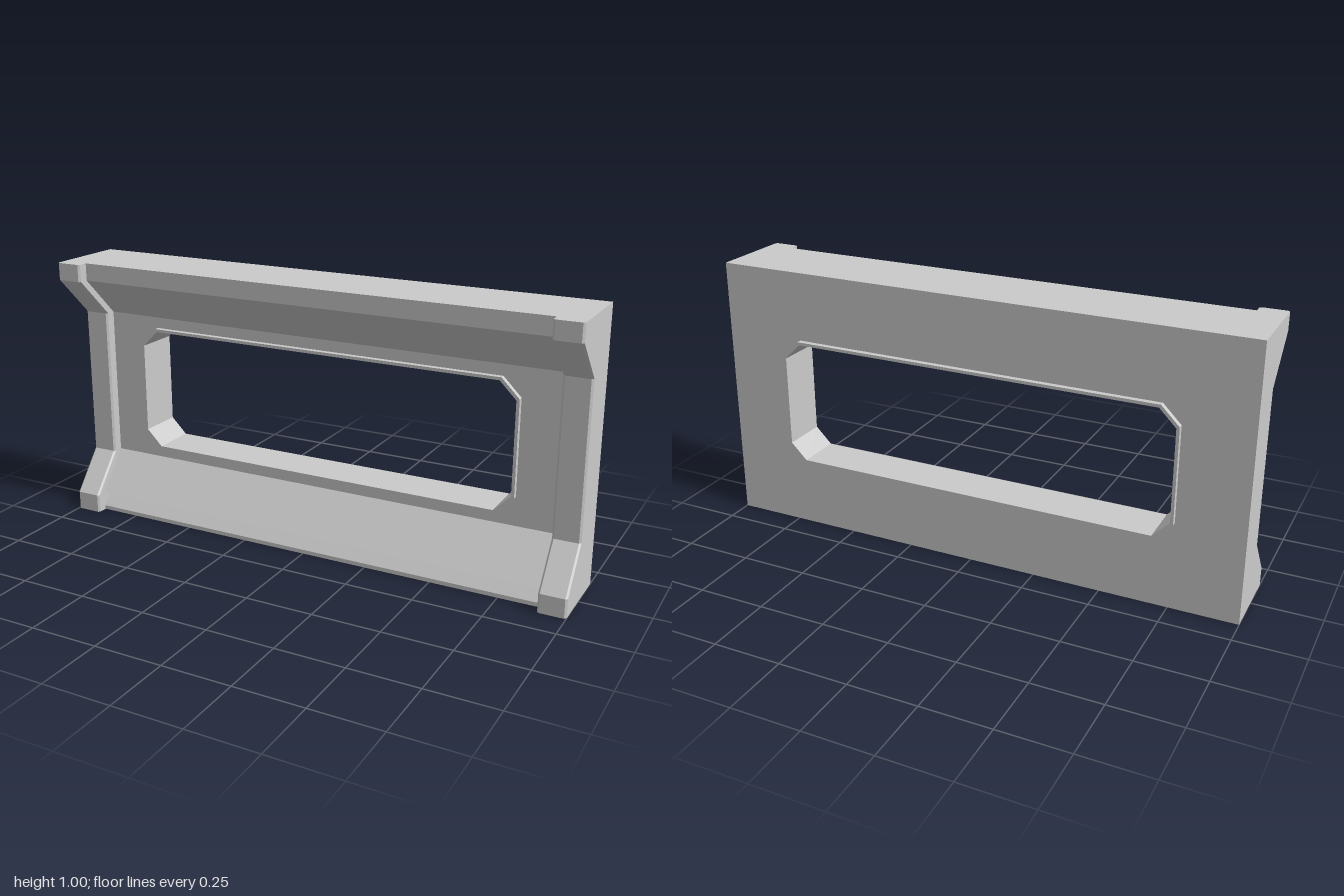
import * as THREE from 'three';

const BACK = -0.15, WALL = -0.02;

// Front outlines as [z, y] from the bottom back edge to the top back edge
const rib = [[BACK, 0], [0.14, 0], [0.14, 0.015], [0.14, 0.055], [0.14, 0.07], [0.02, 0.22],
  [0.02, 0.785], [0.17, 0.935], [0.17, 1], [BACK, 1]];
const wall = [[BACK, 0], [0.1, 0], [0.1, 0.015], [0.07, 0.055], [0.1, 0.07], [WALL, 0.22],
  [WALL, 0.785], [0.13, 0.935], [0.13, 1], [BACK, 1]];
const ribEdge = rib.map(([z, y]) => [z === BACK ? z : z - 0.007, y]);

// Flat-shaded skin between profiles placed along x
function loft(sections, skip = () => false) {
  const pos = [];
  const p = (i, j) => [sections[i][0], sections[i][1][j][1], sections[i][1][j][0]];
  for (let i = 0; i < sections.length - 1; i++) {
    for (let j = 0; j < rib.length - 1; j++) {
      if (skip(i, j)) continue;
      const a = p(i, j), b = p(i + 1, j), c = p(i + 1, j + 1), d = p(i, j + 1);
      pos.push(...a, ...b, ...c, ...a, ...c, ...d);
    }
  }
  const g = new THREE.BufferGeometry();
  g.setAttribute('position', new THREE.Float32BufferAttribute(pos, 3));
  g.computeVertexNormals();
  return g;
}

// Rectangle with cut corners, centred on the window
function octagon(w, h, c, Type = THREE.Path) {
  const y = 0.502, pts = [[w - c, -h], [w, -h + c], [w, h - c], [w - c, h],
    [-w + c, h], [-w, h - c], [-w, -h + c], [-w + c, -h]];
  return new Type(pts.map(([px, py]) => new THREE.Vector2(px, py + y)));
}

// Flat panel with the window opening
function panel(w, y0, y1) {
  const s = new THREE.Shape([[-w, y0], [w, y0], [w, y1], [-w, y1]].map(q => new THREE.Vector2(...q)));
  s.holes.push(octagon(0.757, 0.242, 0.066));
  return new THREE.ShapeGeometry(s);
}

export function createModel() {
  const group = new THREE.Group();
  const material = new THREE.MeshStandardMaterial({ color: 0xcccccc, flatShading: true, side: THREE.DoubleSide });
  const add = (name, geometry) => {
    const m = new THREE.Mesh(geometry, material);
    m.name = name;
    group.add(m);
    return m;
  };

  // Beams and chamfered end ribs; the recessed wall strip is left open for the window panel
  add('beamsAndRibs', loft([
    [-1, ribEdge], [-0.993, rib], [-0.907, rib], [-0.9, ribEdge], [-0.9, wall],
    [0.9, wall], [0.9, ribEdge], [0.907, rib], [0.993, rib], [1, ribEdge],
  ], (i, j) => i === 4 && j === 5));

  // End faces
  for (const side of [-1, 1]) {
    const outline = new THREE.Shape(ribEdge.map(([z, y]) => new THREE.Vector2(-side * z, y)));
    const cap = add(side > 0 ? 'leftEnd' : 'rightEnd', new THREE.ShapeGeometry(outline));
    cap.rotation.y = side * Math.PI / 2;
    cap.position.x = side;
  }

  // Recessed front wall and flat back
  add('frontWall', panel(0.9, 0.22, 0.785)).position.z = WALL;
  const back = add('backWall', panel(1, 0, 1));
  back.rotation.y = Math.PI;
  back.position.z = BACK;

  // Window frame standing proud of the wall on both sides
  const ring = octagon(0.757, 0.242, 0.066, THREE.Shape);
  ring.holes.push(octagon(0.746, 0.231, 0.061));
  add('windowFrame', new THREE.ExtrudeGeometry(ring, { depth: 0.17, bevelEnabled: false })).position.z = -0.17;

  return group;
}
